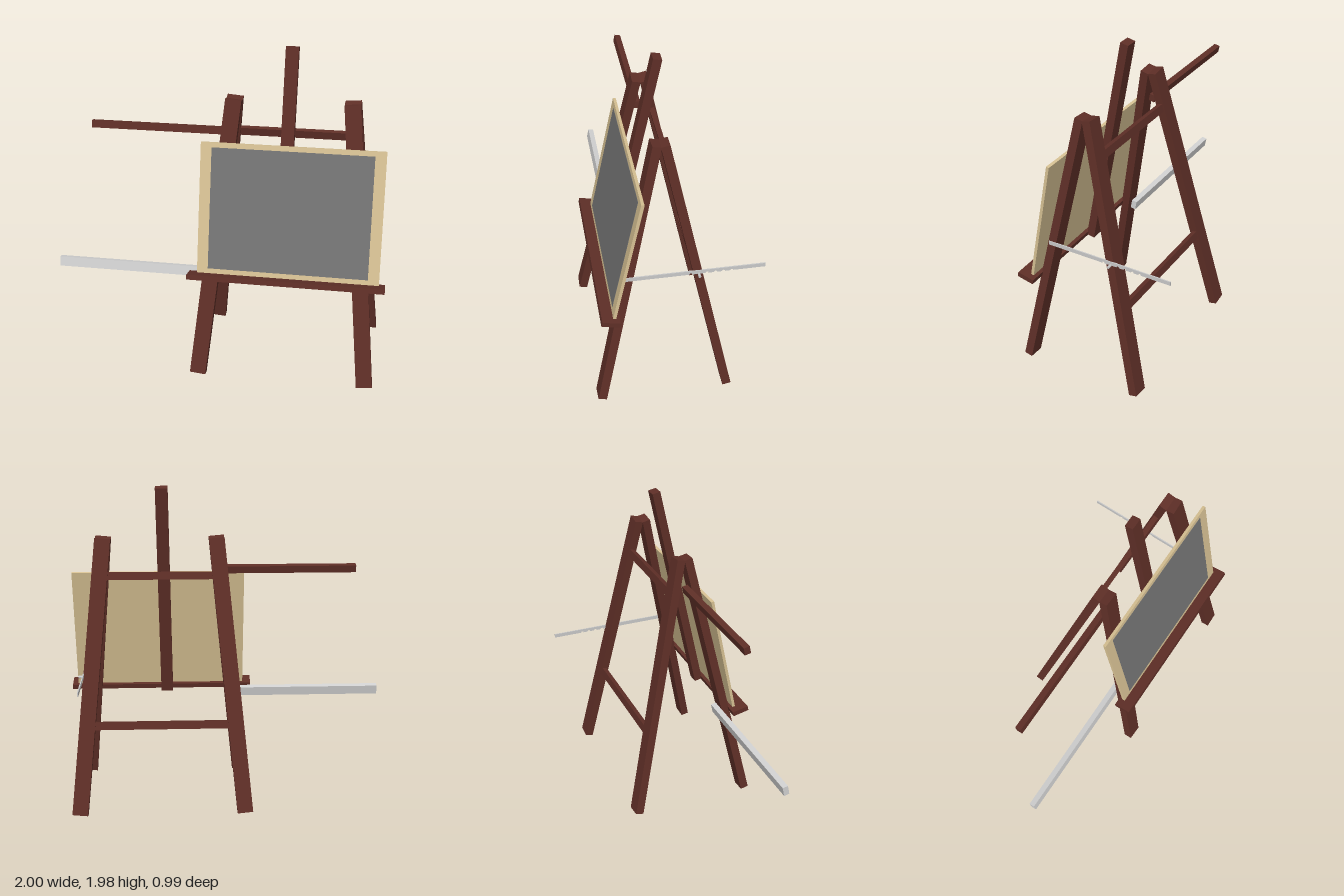
import * as THREE from 'three';

const mat = (name, color) => {
  const m = new THREE.MeshStandardMaterial({ color });
  m.name = name;
  return m;
};

export function createModel() {
  const wood = mat('dark red wood', 0x5f2f27);
  const tan = mat('pale wood', 0xd8c294);
  const slate = mat('slate grey', 0x757575);
  const tray = mat('light grey', 0xd2d2d2);
  const steel = mat('steel', 0xcacaca);

  const easel = new THREE.Group();
  easel.name = 'easel';
  const TILT = THREE.MathUtils.degToRad(12);
  const MID = 0.406; // centre line of the stand

  const add = (name, geometry, material) => {
    const mesh = new THREE.Mesh(geometry, material);
    mesh.name = name;
    easel.add(mesh);
    return mesh;
  };

  // Square-cut beam running from a to b
  const beam = (name, a, b, width, depth) => {
    const from = new THREE.Vector3(...a), to = new THREE.Vector3(...b);
    const y = to.clone().sub(from);
    const length = y.length();
    y.normalize();
    const x = new THREE.Vector3(1, 0, 0).addScaledVector(y, -y.x).normalize();
    const z = new THREE.Vector3().crossVectors(x, y);
    const mesh = add(name, new THREE.BoxGeometry(width, length, depth), wood);
    mesh.quaternion.setFromRotationMatrix(new THREE.Matrix4().makeBasis(x, y, z));
    mesh.position.copy(from).add(to).multiplyScalar(0.5);
  };

  // Box between x0 and x1, leaning about the x axis
  const bar = (name, x0, x1, y, z, height, depth, lean, material) => {
    const mesh = add(name, new THREE.BoxGeometry(x1 - x0, height, depth), material);
    mesh.position.set((x0 + x1) / 2, y, z);
    mesh.rotation.x = lean;
    return mesh;
  };

  // Splayed legs, mirrored about the centre line
  for (const [side, s] of [['left', 1], ['right', -1]]) {
    const foot = MID + s * 0.508, head = MID + s * 0.346;
    beam(side + 'FrontLeg', [foot, 0.0125, 0.466], [head, 1.666, 0.114], 0.096, 0.051);
    beam(side + 'BackLeg', [foot, 0.0125, -0.287], [head, 1.666, 0.067], 0.096, 0.051);
  }

  // Central mast
  beam('mast', [0.379, 0.618, 0.337], [0.391, 1.978, 0.047], 0.076, 0.051);

  // Rails between the back legs
  bar('lowerBackRail', -0.02, 0.83, 0.551, -0.177, 0.048, 0.03, TILT, wood);
  bar('upperBackRail', 0.07, 0.74, 1.445, 0.018, 0.048, 0.03, TILT, wood);

  // Arms reaching out to the side
  bar('upperSideArm', -0.805, 0.04, 1.467, 0.105, 0.045, 0.037, -TILT, wood);
  bar('sideTray', -1, -0.02, 0.618, 0.288, 0.059, 0.034, -TILT, tray);

  // Shelf and the board resting on it
  bar('shelf', -0.17, 1, 0.645, 0.405, 0.03, 0.106, -TILT, wood);
  bar('board', -0.118, 0.964, 1.043, 0.298, 0.79, 0.018, -TILT, tan);
  const panel = bar('boardPanel', -0.053, 0.898, 1.043, 0.298, 0.731, 0.004, -TILT, slate);
  panel.translateZ(0.0085);

  // Notched stay joining the left legs
  const stay = new THREE.Shape();
  const low = 0.847, high = 0.871;
  stay.moveTo(-0.305, low);
  for (let i = 0; i < 6; i++) {
    const c = 0.065 + i * 0.047;
    stay.lineTo(c - 0.009, low);
    stay.absarc(c, low, 0.009, Math.PI, 0, true);
  }
  stay.lineTo(0.495, low);
  stay.lineTo(0.495, high);
  stay.lineTo(-0.305, high);
  stay.closePath();
  const stayGeometry = new THREE.ExtrudeGeometry(stay, {
    depth: 0.007, bevelEnabled: false, curveSegments: 6,
  });
  stayGeometry.rotateY(Math.PI / 2);
  add('notchedStay', stayGeometry, steel).position.x = 0.876;

  // Peg holding the stay on the back leg
  const peg = add('stayPeg', new THREE.CylinderGeometry(0.008, 0.008, 0.04, 12), steel);
  peg.rotation.z = Math.PI / 2;
  peg.position.set(0.89, low, -0.112);

  return easel;
}
